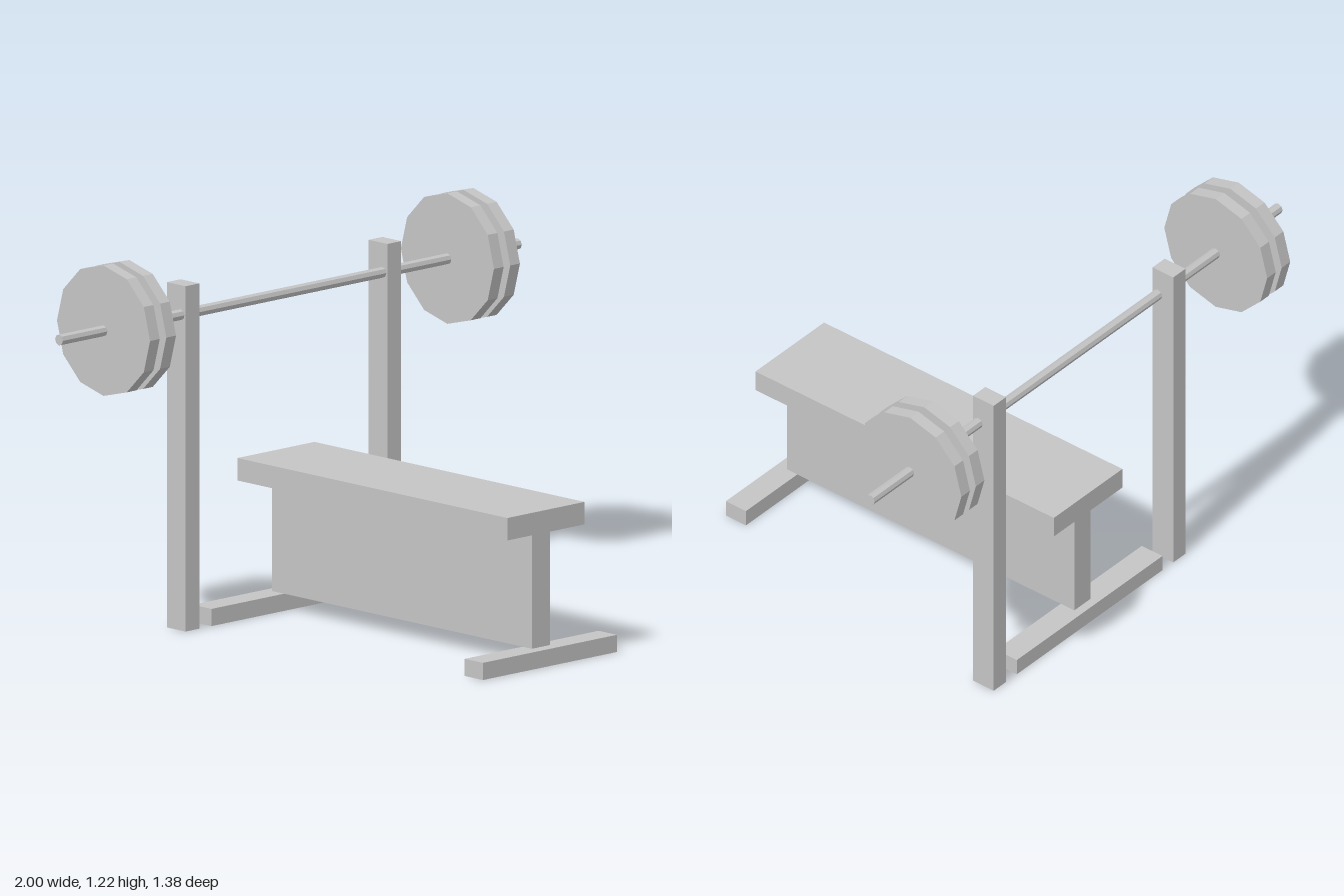
import * as THREE from 'three';

export function createModel() {
  const model = new THREE.Group();
  model.name = 'weightBench';
  const grey = new THREE.MeshStandardMaterial({ color: 0xc4c4c4, flatShading: true });
  grey.name = 'light grey';

  const add = (name, geometry, x, y, z) => {
    const mesh = new THREE.Mesh(geometry, grey);
    mesh.name = name;
    mesh.position.set(x, y, z);
    model.add(mesh);
  };
  // Box given by its extents on each axis
  const box = (name, [x0, x1], [y0, y1], [z0, z1]) =>
    add(name, new THREE.BoxGeometry(x1 - x0, y1 - y0, z1 - z0),
      (x0 + x1) / 2, (y0 + y1) / 2, (z0 + z1) / 2);
  // Cylinder lying along x, on the barbell axis
  const disc = (name, radius, length, sides, x) =>
    add(name, new THREE.CylinderGeometry(radius, radius, length, sides).rotateZ(Math.PI / 2),
      x, 1.012, -0.482);

  // Bench
  box('benchPad', [-0.168, 0.168], [0.425, 0.497], [-0.538, 0.674]);
  box('benchSpine', [-0.04, 0.04], [0.055, 0.425], [-0.515, 0.652]);
  box('frontFoot', [-0.292, 0.292], [0, 0.055], [0.61, 0.692]);
  box('rearFoot', [-0.357, 0.357], [0, 0.055], [-0.544, -0.46]);

  // Barbell, with uprights and plates on both sides
  disc('bar', 0.0175, 2, 8, 0);
  for (const [side, s] of [['left', 1], ['right', -1]]) {
    box(side + 'Upright', [s * 0.44 - 0.03, s * 0.44 + 0.03], [0, 1.106], [-0.544, -0.46]);
    disc(side + 'InnerPlate', 0.209, 0.042, 12, s * 0.714);
    disc(side + 'OuterPlate', 0.209, 0.042, 12, s * 0.785);
  }
  return model;
}
